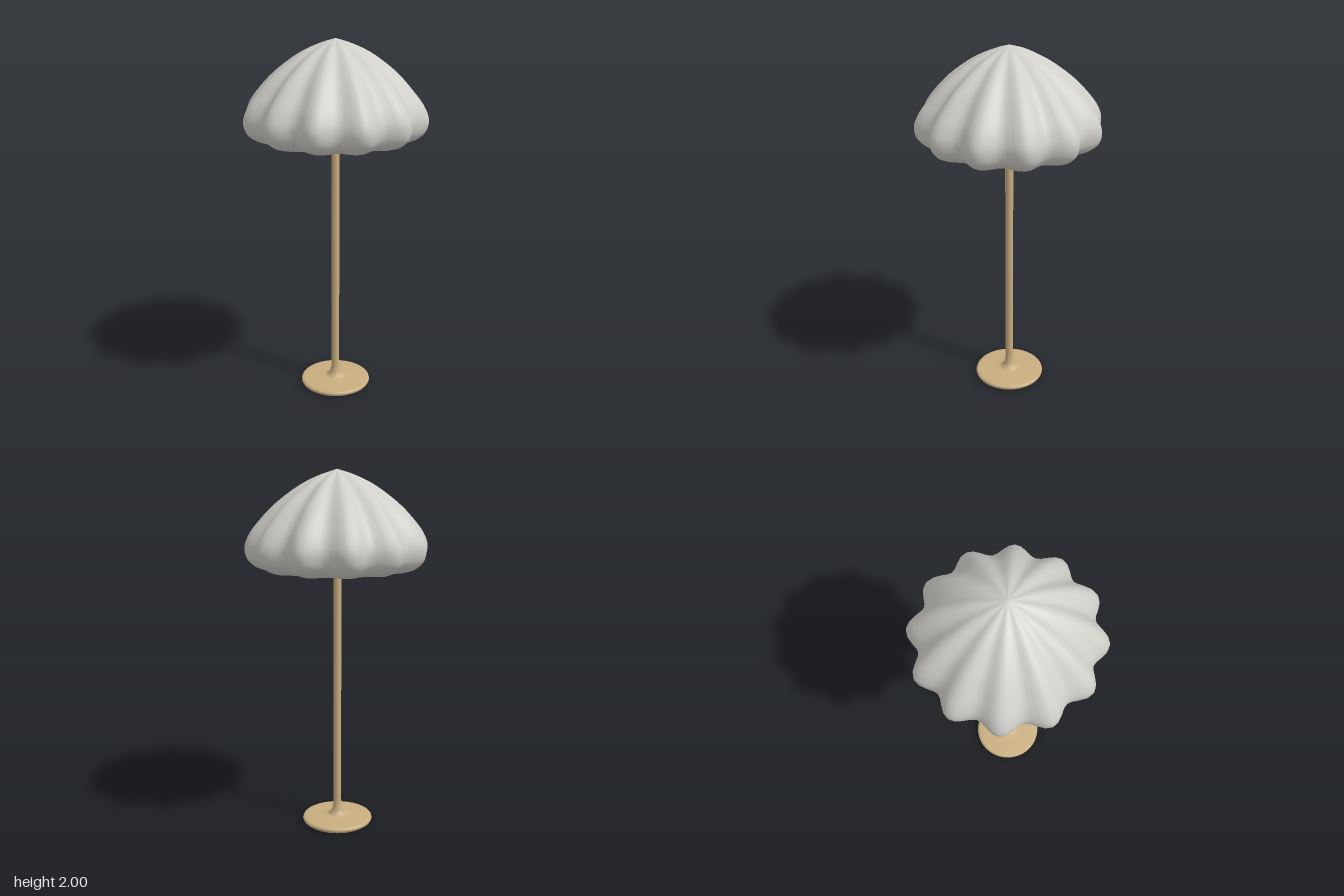
import * as THREE from 'three';
import { mergeVertices } from 'three/addons/utils/BufferGeometryUtils.js';

const LOBES = 12;

const vectors = (pairs) => pairs.map(([x, y]) => new THREE.Vector2(x, y));

// Pleated dome: a lathe whose radius swells and shrinks around the axis
function pleatedDome(profile, segments) {
  const points = new THREE.SplineCurve(vectors(profile)).getPoints(40);
  points[points.length - 1].x = 0;
  const lathe = new THREE.LatheGeometry(points, segments);
  const pos = lathe.attributes.position;
  for (let i = 0; i < pos.count; i++) {
    const x = pos.getX(i), y = pos.getY(i), z = pos.getZ(i);
    const wave = Math.cos(LOBES * Math.atan2(x, z));
    const scale = 0.94 + 0.06 * wave;
    pos.setXYZ(i, x * scale, y, z * scale);
  }
  // Weld the seam so that shading is continuous
  lathe.deleteAttribute('normal');
  lathe.deleteAttribute('uv');
  const geometry = mergeVertices(lathe, 1e-5);
  geometry.computeVertexNormals();
  return geometry;
}

export function createModel() {
  const fabric = new THREE.MeshStandardMaterial({ color: 0xd0cec9, side: THREE.DoubleSide });
  fabric.name = 'shade fabric';
  const brass = new THREE.MeshStandardMaterial({ color: 0xc8ad7f });
  brass.name = 'stand tan';

  const model = new THREE.Group();
  model.name = 'floorLamp';
  const add = (name, geometry, material) => {
    const mesh = new THREE.Mesh(geometry, material);
    mesh.name = name;
    model.add(mesh);
  };

  // Shade, from the curled-in rim up to the peak
  add('shade', pleatedDome([
    [0.385, 1.468], [0.44, 1.488], [0.485, 1.53], [0.499, 1.59], [0.48, 1.65],
    [0.435, 1.715], [0.34, 1.815], [0.21, 1.912], [0.1, 1.967], [0, 2.0],
  ], 96), fabric);

  // Round foot: flat underside and rounded edge
  add('base', new THREE.LatheGeometry(vectors([
    [0, 0.003], [0.185, 0.003], [0.185, 0.003], [0.195, 0.008], [0.2, 0.018],
    [0.197, 0.027], [0.185, 0.032], [0.13, 0.034], [0.08, 0.037], [0.055, 0.042],
  ]), 48), brass);
  // Thin sole that rests on the floor
  const sole = new THREE.CylinderGeometry(0.185, 0.183, 0.004, 48);
  sole.translate(0, 0.002, 0);
  add('sole', sole, brass);

  // Pole, flaring into the foot and into the shade
  add('pole', new THREE.LatheGeometry(vectors([
    [0.055, 0.042], [0.04, 0.052], [0.03, 0.07], [0.024, 0.1], [0.022, 0.14],
    [0.022, 1.56], [0.024, 1.61], [0.031, 1.66], [0.046, 1.71], [0.065, 1.76],
    [0.085, 1.81], [0.1, 1.86], [0.09, 1.9], [0, 1.94],
  ]), 32), brass);

  return model;
}
